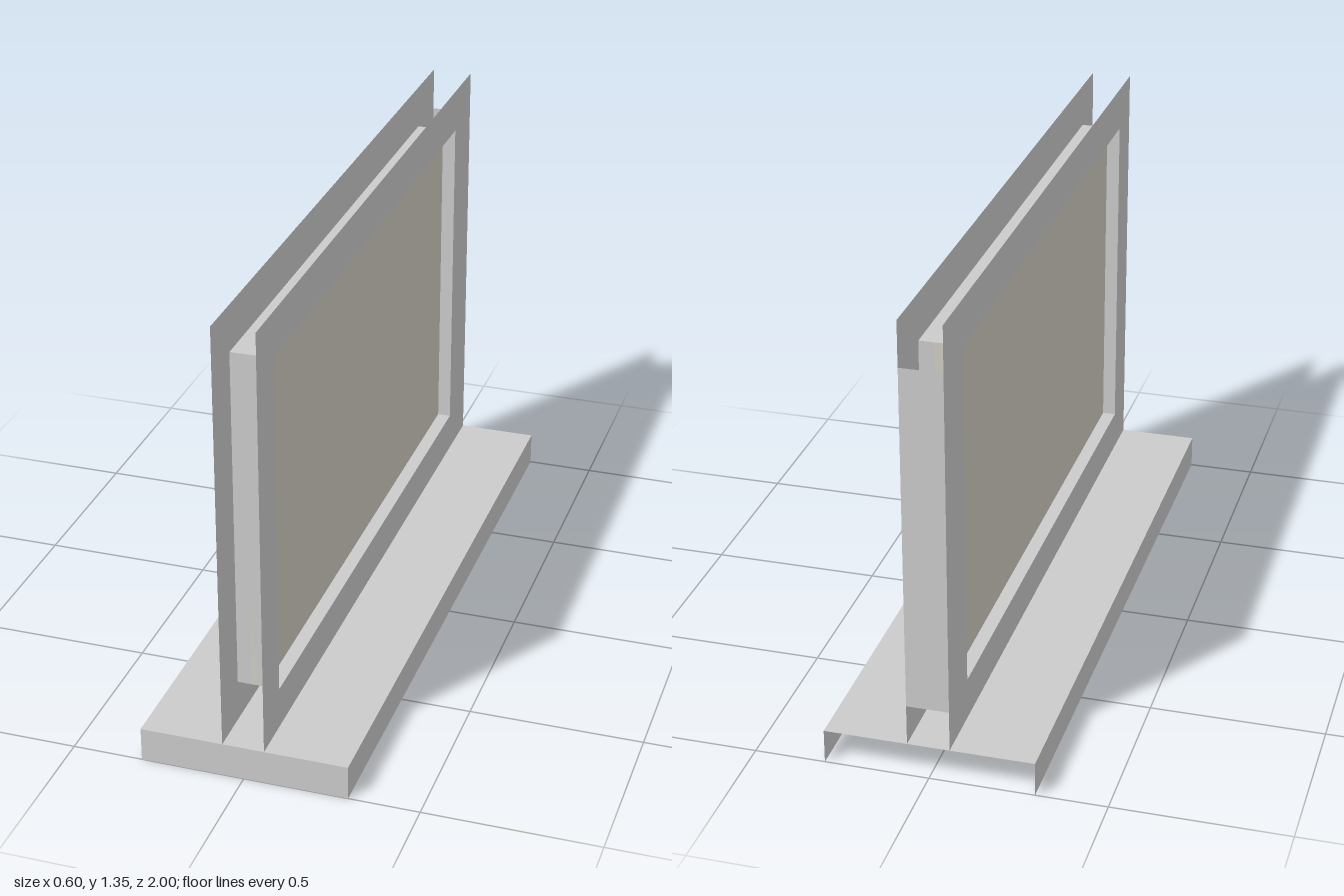
import * as THREE from 'three';

const grey = new THREE.MeshStandardMaterial({ color: 0xcccccc, side: THREE.DoubleSide, flatShading: true });
const beige = new THREE.MeshStandardMaterial({ color: 0xd2cec2 });

const BASE_W = 0.596, BASE_H = 0.1, TOP = 1.35, FRAME_X = 0.06;
const Z0 = -0.83, Z1 = 0.87, Y0 = 0.22, Y1 = 1.22; // window opening
const ZC = (Z0 + Z1) / 2, YC = (Y0 + Y1) / 2, ZL = Z1 - Z0, YL = Y1 - Y0;

// thin sheet facing +x, +y or +z; w and h are its two in-plane sizes
function sheet(parent, name, facing, w, h, x, y, z) {
  const geo = new THREE.PlaneGeometry(w, h);
  if (facing === 'x') geo.rotateY(Math.PI / 2);
  if (facing === 'y') geo.rotateX(-Math.PI / 2);
  const mesh = new THREE.Mesh(geo, grey);
  mesh.name = name;
  mesh.position.set(x, y, z);
  parent.add(mesh);
}

export function createModel() {
  const model = new THREE.Group();
  model.name = 'windowDisplay';

  // base: folded tray, open underneath and at the back
  const base = new THREE.Group();
  base.name = 'base';
  sheet(base, 'baseTop', 'y', BASE_W, 2, 0, BASE_H, 0);
  sheet(base, 'baseFront', 'z', BASE_W, BASE_H, 0, BASE_H / 2, 1);
  for (const s of [-1, 1]) sheet(base, 'baseSide', 'x', 2, BASE_H, s * BASE_W / 2, BASE_H / 2, 0);
  model.add(base);

  // two upright sheets with a rectangular opening (shape x becomes -z)
  const outline = new THREE.Shape([[-1, BASE_H], [1, BASE_H], [1, TOP], [-1, TOP]].map(p => new THREE.Vector2(...p)));
  outline.holes.push(new THREE.Path([[-Z1, Y0], [-Z1, Y1], [-Z0, Y1], [-Z0, Y0]].map(p => new THREE.Vector2(...p))));
  const frameGeo = new THREE.ShapeGeometry(outline).rotateY(Math.PI / 2);
  for (const s of [-1, 1]) {
    const frame = new THREE.Mesh(frameGeo, grey);
    frame.name = 'frame';
    frame.position.x = s * FRAME_X;
    model.add(frame);
  }

  // lining of the opening, joining the two frames
  const lining = new THREE.Group();
  lining.name = 'lining';
  for (const y of [Y0, Y1]) sheet(lining, 'liningRail', 'y', 2 * FRAME_X, ZL, 0, y, ZC);
  for (const z of [Z0, Z1]) sheet(lining, 'liningPost', 'z', 2 * FRAME_X, YL, 0, YC, z);
  model.add(lining);

  // strip closing the gap between the frames at the back end
  sheet(model, 'backStrip', 'z', 2 * FRAME_X, YL, 0, YC, -1);

  // panel recessed in the opening
  const panel = new THREE.Mesh(new THREE.BoxGeometry(0.04, YL, ZL), beige);
  panel.name = 'panel';
  panel.position.set(0, YC, ZC);
  model.add(panel);

  return model;
}
